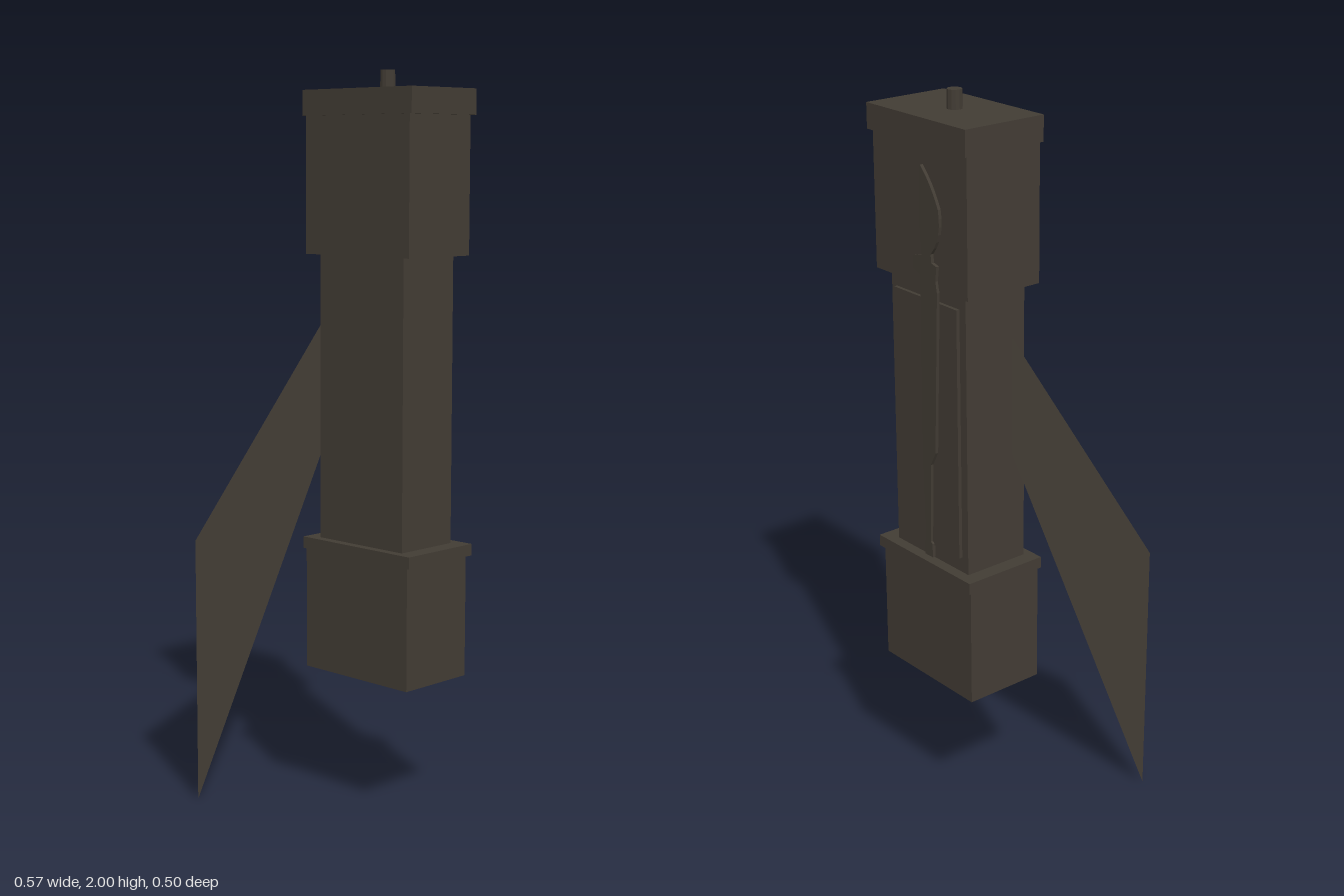
import * as THREE from 'three';

export function createModel() {
  const group = new THREE.Group();
  group.name = 'longcaseClock';
  const wood = new THREE.MeshStandardMaterial({ color: 0x423c34, flatShading: true, side: THREE.DoubleSide });
  wood.name = 'darkWood';

  const add = (name, geometry) => {
    const mesh = new THREE.Mesh(geometry, wood);
    mesh.name = name;
    group.add(mesh);
    return mesh;
  };
  // Box given by its limits on each axis
  const box = (name, [x0, x1], [y0, y1], [z0, z1]) => {
    const mesh = add(name, new THREE.BoxGeometry(x1 - x0, y1 - y0, z1 - z0));
    mesh.position.set((x0 + x1) / 2, (y0 + y1) / 2, (z0 + z1) / 2);
    return mesh;
  };

  // Case, from the base up
  const bodyX = [-0.105, 0.272], bodyZ = [-0.235, 0];
  const lipX = [-0.113, 0.283], lipZ = [-0.245, 0.005];
  box('base', bodyX, [0.37, 0.705], bodyZ);
  box('baseMoulding', lipX, [0.705, 0.737], lipZ);
  box('trunk', [-0.07, 0.235], [0.737, 1.515], [-0.214, -0.02]);
  box('trunkDoor', [-0.045, 0.213], [0.78, 1.475], [-0.224, -0.212]);
  box('hood', bodyX, [1.515, 1.882], bodyZ);
  box('cornice', lipX, [1.882, 1.95], lipZ);

  // Rod ends above and below the case
  const topRod = add('topRod', new THREE.CylinderGeometry(0.02, 0.021, 0.08, 12));
  topRod.position.set(0.083, 1.96, -0.119);
  const bottomRod = add('bottomRod', new THREE.CylinderGeometry(0.01, 0.01, 0.06, 10));
  bottomRod.position.set(0.092, 0.375, -0.125);

  // Weight disc just breaking through the underside
  const disc = add('weightDisc', new THREE.CylinderGeometry(0.08, 0.08, 0.006, 20));
  disc.position.set(0.105, 0.373, -0.12);
  disc.rotation.z = -0.05;

  // Slanted sheet leaning out of the trunk
  const sheet = new THREE.BufferGeometry();
  sheet.setAttribute('position', new THREE.Float32BufferAttribute([
    -0.285, 0, 0.25, -0.03, 1.237, -0.117, -0.03, 1.487, -0.117, -0.285, 0.735, 0.25,
  ], 3));
  sheet.setIndex([0, 1, 2, 0, 2, 3]);
  sheet.computeVertexNormals();
  add('slantedSheet', sheet);

  // Knife-shaped plate on the back: broad tip, collar, tapering grip and foot
  const outline = new THREE.Shape();
  outline.moveTo(0.062, 1.832);
  outline.quadraticCurveTo(0.02, 1.79, -0.005, 1.73);
  outline.quadraticCurveTo(-0.018, 1.66, 0.03, 1.608);
  [
    [0.028, 1.585], [0.008, 1.58], [0.014, 1.54], [0.009, 1.51], [0.036, 1.06],
    [0.058, 1.02], [0.068, 0.79], [0.062, 0.785], [0.062, 0.745], [0.095, 0.745],
    [0.095, 0.785], [0.088, 0.79], [0.09, 1.05], [0.076, 1.51], [0.076, 1.545],
    [0.105, 1.555], [0.1, 1.59], [0.067, 1.6], [0.073, 1.7],
  ].forEach(([x, y]) => outline.lineTo(x, y));
  outline.closePath();
  const knifeGeometry = new THREE.ExtrudeGeometry(outline, { depth: 0.009, bevelEnabled: false, curveSegments: 6 });
  // Lean the plate so that the tip clears the hood
  const position = knifeGeometry.attributes.position;
  for (let i = 0; i < position.count; i++) {
    const lean = 0.018 * (position.getY(i) - 0.745) / 1.087;
    position.setZ(i, position.getZ(i) - 0.23 - lean);
  }
  knifeGeometry.computeVertexNormals();
  add('backKnife', knifeGeometry);

  return group;
}
